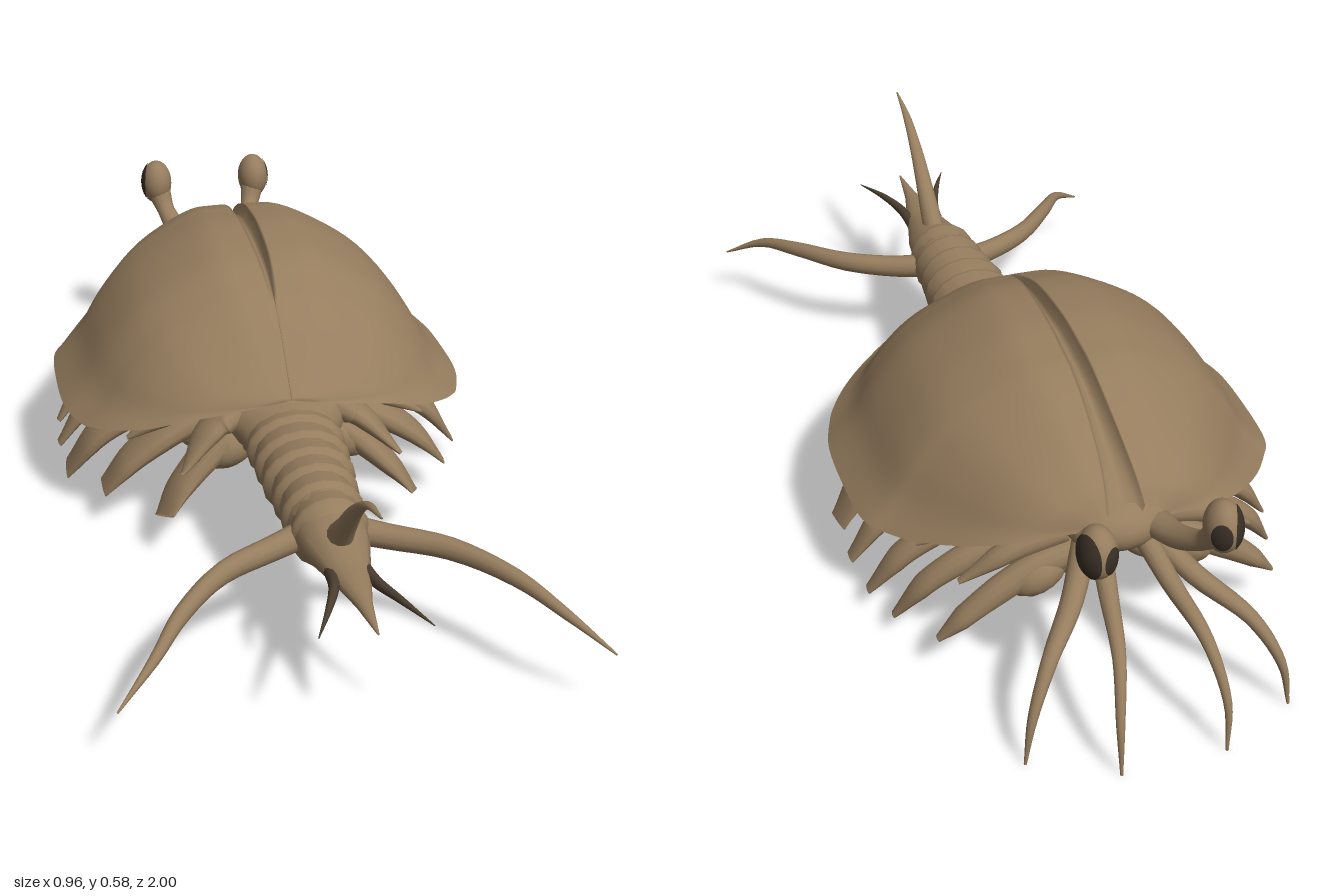
import * as THREE from 'three';

const V = (x, y, z) => new THREE.Vector3(x, y, z);

export function createModel() {
  const model = new THREE.Group();
  const shellBrown = new THREE.MeshStandardMaterial({ color: 0x967d5e, side: THREE.DoubleSide });
  shellBrown.name = 'shellBrown';
  const spineBrown = new THREE.MeshStandardMaterial({ color: 0x4c3f30 });
  spineBrown.name = 'spineBrown';
  const eyeDark = new THREE.MeshStandardMaterial({ color: 0x382f25 });
  eyeDark.name = 'eyeDark';

  function add(name, geometry, material = shellBrown, parent = model) {
    const mesh = new THREE.Mesh(geometry, material);
    mesh.name = name;
    parent.add(mesh);
    return mesh;
  }

  function gridGeometry(positions, index) {
    const g = new THREE.BufferGeometry();
    g.setAttribute('position', new THREE.Float32BufferAttribute(positions, 3));
    g.setIndex(index);
    g.computeVertexNormals();
    return g;
  }

  // Elliptical section swept along a path; radii are [along axis, across axis]
  function sweep(path, radii, axis = V(0, 0, 1), s = 1, steps = 20, sides = 12) {
    const curve = new THREE.CatmullRomCurve3(path.map(p => V(p[0] * s, p[1], p[2])));
    const pos = [], idx = [];
    for (let i = 0; i <= steps; i++) {
      const t = i / steps, c = curve.getPoint(t), tan = curve.getTangent(t);
      const side = axis.clone().addScaledVector(tan, -axis.dot(tan)).normalize();
      const up = tan.clone().cross(side);
      const f = t * (radii.length - 1), k = Math.min(Math.floor(f), radii.length - 2);
      const a = THREE.MathUtils.lerp(radii[k][0], radii[k + 1][0], f - k);
      const b = THREE.MathUtils.lerp(radii[k][1], radii[k + 1][1], f - k);
      for (let j = 0; j < sides; j++) {
        const q = j / sides * Math.PI * 2;
        const p = c.clone().addScaledVector(side, a * Math.cos(q)).addScaledVector(up, b * Math.sin(q));
        pos.push(p.x, p.y, p.z);
        if (i === steps) continue;
        const n = (j + 1) % sides, r = i * sides, e = r + sides;
        idx.push(r + j, r + n, e + n, r + j, e + n, e + j);
      }
    }
    return gridGeometry(pos, idx);
  }

  // Carapace stations: z, half width, crest height, rim height, groove half width
  const stations = [
    [-0.69, 0.10, 0.40, 0.365, 0.040], [-0.66, 0.20, 0.44, 0.345, 0.034], [-0.60, 0.285, 0.485, 0.31, 0.027],
    [-0.50, 0.37, 0.535, 0.265, 0.021], [-0.42, 0.423, 0.563, 0.245, 0.019], [-0.36, 0.453, 0.573, 0.24, 0.018],
    [-0.25, 0.462, 0.583, 0.24, 0.016], [-0.10, 0.46, 0.57, 0.24, 0.012], [0.00, 0.435, 0.535, 0.24, 0.006],
    [0.05, 0.41, 0.51, 0.25, 0.001], [0.10, 0.37, 0.475, 0.265, 0.001], [0.15, 0.31, 0.43, 0.285, 0.001],
    [0.19, 0.23, 0.395, 0.315, 0.001], [0.22, 0.10, 0.37, 0.345, 0.001], [0.225, 0.01, 0.362, 0.36, 0.001]];
  const outer = new THREE.CatmullRomCurve3(stations.map(r => V(r[0], r[1], r[2])), false, 'catmullrom');
  const inner = new THREE.CatmullRomCurve3(stations.map(r => V(r[0], r[3], r[4])), false, 'catmullrom');
  const profile = new THREE.SplineCurve([[0, 1], [0.08, 1], [0.22, 0.98], [0.42, 0.85], [0.6, 0.68],
    [0.75, 0.44], [0.87, 0.18], [1, 0]].map(p => new THREE.Vector2(...p)));

  function valve(s) {
    const rows = 70, cols = 30, pos = [], idx = [];
    for (let i = 0; i <= rows; i++) {
      const o = outer.getPoint(i / rows), r = inner.getPoint(i / rows);
      for (let j = 0; j <= cols; j++) {
        const p = profile.getPoint(Math.max(0, j - 2) / (cols - 2));
        // The first two columns are the floor of the groove between the valves
        const x = j === 0 ? 0 : j === 1 ? r.z * 0.75 : r.z + p.x * (o.y - r.z);
        const drop = j < 2 ? Math.min(0.028, r.z * 2) : 0;
        pos.push(s * x, r.y + (o.z - r.y) * p.y - drop, o.x);
        if (i === rows || j === cols) continue;
        const a = i * (cols + 1) + j, b = a + 1, c = a + cols + 1, d = c + 1;
        if (s > 0) idx.push(a, c, b, b, c, d);
        else idx.push(a, b, c, b, d, c);
      }
    }
    return gridGeometry(pos, idx);
  }

  // Trunk hidden below the carapace, and the head
  const across = V(1, 0, 0);
  add('trunk', sweep([[0, 0.345, -0.70], [0, 0.335, -0.45], [0, 0.32, -0.1], [0, 0.305, 0.1], [0, 0.28, 0.24]],
    [[0.05, 0.03], [0.13, 0.06], [0.16, 0.07], [0.17, 0.07], [0.16, 0.07], [0.10, 0.075]], across, 1, 30, 18));
  const head = add('head', new THREE.SphereGeometry(1, 20, 14));
  head.scale.set(0.11, 0.06, 0.08);
  head.position.set(0, 0.345, -0.64);

  // Abdomen of overlapping rings, each flaring towards the tail
  const ringWidths = [0.108, 0.106, 0.102, 0.098, 0.090, 0.086, 0.080];
  ringWidths.forEach((w, i) => {
    const z = 0.16 + i * 0.065, h = 0.081, y = 0.282 - i * 0.0045;
    add('abdomenRing', sweep([[0, y, z], [0, y - 0.002, z + 0.04], [0, y - 0.004, z + 0.078]],
      [[w * 0.92, h * 0.92], [w * 0.97, h * 0.97], [w * 1.02, h * 1.02], [w * 0.8, h * 0.8]], across, 1, 12, 16));
  });

  // Telson with its tail spine and upright spine
  add('telson', sweep([[0, 0.257, 0.56], [0, 0.257, 0.7], [0, 0.263, 0.85], [0, 0.268, 1.0]],
    [[0.08, 0.075], [0.068, 0.05], [0.042, 0.025], [0.017, 0.013], [0.002, 0.002]], across, 1, 24));
  add('uprightSpine', sweep([[0, 0.27, 0.665], [0, 0.345, 0.735], [0, 0.425, 0.815], [0, 0.485, 0.905], [0, 0.512, 1.0]],
    [[0.028, 0.036], [0.022, 0.02], [0.016, 0.012], [0.01, 0.007], [0.002, 0.002]], across));

  // Swimming legs: z at root, tip x, tip y, tip z, half breadth, breadth at the tip
  const legs = [
    [-0.63, 0.365, 0.10, -0.61, 0.027, 0.010], [-0.52, 0.42, 0.06, -0.465, 0.029, 0.010],
    [-0.41, 0.45, 0.06, -0.37, 0.032, 0.014], [-0.26, 0.46, 0.06, -0.255, 0.036, 0.020],
    [-0.09, 0.455, 0.06, -0.125, 0.06, 0.042], [0.04, 0.39, 0.09, 0.035, 0.058, 0.045],
    [0.15, 0.28, 0.11, 0.225, 0.055, 0.045]];

  for (const s of [1, -1]) {
    const half = new THREE.Group();
    half.name = s > 0 ? 'leftSide' : 'rightSide';
    model.add(half);
    const part = (name, geo, mat = shellBrown) => add(name, geo, mat, half);

    part('carapaceValve', valve(s));

    for (const [z, x, y, tz, b, e] of legs) {
      part('swimmingLeg', sweep([[0.08, 0.28, z], [x * 0.5, 0.245, z], [x * 0.82, 0.165, z * 0.6 + tz * 0.4], [x, y, tz]],
        [[0.03, 0.03], [b, 0.034], [b * 1.05, 0.03], [b, 0.02], [e, 0.005]], V(0, 0, 1), s));
      part('upperLegBranch', sweep([[0.10, 0.32, z + 0.02], [x * 0.55, 0.295, z + 0.02], [x * 0.86, 0.22, tz + 0.02]],
        [[0.03, 0.03], [b, 0.03], [b * 0.9, 0.022], [0.008, 0.004]], V(0, 0, 1), s));
      // Rounded lobes at the leg base, an outer one and one near the midline
      for (const [lx, ly, size] of [[Math.min(0.16, x * 0.45), 0.235, 1], [0.07, 0.262, 0.85]]) {
        const lobe = part('legLobe', new THREE.SphereGeometry(1, 14, 10));
        lobe.scale.set(0.068 * size, 0.046 * size, 0.05 * size);
        lobe.position.set(s * lx, ly, z + 0.01);
        lobe.rotation.z = -s * 0.5;
      }
    }

    // Long side tail spines and short inner ones
    part('sideTailSpine', sweep([[0.03, 0.245, 0.57], [0.12, 0.235, 0.61], [0.23, 0.232, 0.675], [0.33, 0.222, 0.79], [0.40, 0.195, 0.895], [0.48, 0.14, 0.97]],
      [[0.03, 0.03], [0.027, 0.024], [0.024, 0.021], [0.018, 0.017], [0.011, 0.011], [0.002, 0.002]], V(0, 1, 0), s));
    part('innerTailSpine', sweep([[0.03, 0.255, 0.74], [0.042, 0.265, 0.82], [0.07, 0.27, 0.90], [0.11, 0.266, 0.99]],
      [[0.016, 0.016], [0.013, 0.011], [0.008, 0.007], [0.001, 0.001]], V(0, 1, 0), s), spineBrown);

    // Two pairs of antennae
    part('innerAntenna', sweep([[0.04, 0.33, -0.64], [0.065, 0.27, -0.78], [0.09, 0.225, -0.91], [0.11, 0.12, -0.98], [0.11, 0.005, -0.995]],
      [[0.025, 0.025], [0.02, 0.02], [0.014, 0.014], [0.009, 0.009], [0.003, 0.003]], across, s));
    part('outerAntenna', sweep([[0.06, 0.31, -0.63], [0.13, 0.25, -0.75], [0.21, 0.20, -0.85], [0.26, 0.11, -0.90], [0.278, 0.005, -0.91]],
      [[0.03, 0.025], [0.024, 0.022], [0.018, 0.016], [0.011, 0.010], [0.003, 0.003]], V(0, 0, 1), s));

    // Stalked eyes with a large dark patch outside and a small one inside
    part('eyeStalk', sweep([[0.06, 0.34, -0.64], [0.085, 0.36, -0.75], [0.11, 0.405, -0.83], [0.125, 0.455, -0.865]],
      [[0.038, 0.028], [0.028, 0.025], [0.022, 0.02], [0.032, 0.032]], across, s));
    const eye = new THREE.Group();
    eye.name = 'eye';
    eye.position.set(s * 0.126, 0.465, -0.87);
    eye.scale.set(0.038, 0.056, 0.046);
    half.add(eye);
    add('eyeball', new THREE.SphereGeometry(1, 20, 16), shellBrown, eye);
    for (const [x, z, spread] of [[0.92, -0.4, 0.98], [-0.5, -0.87, 0.55]]) {
      const lens = new THREE.SphereGeometry(1.04, 20, 10, 0, Math.PI * 2, 0, spread);
      const aim = new THREE.Quaternion().setFromUnitVectors(V(0, 1, 0), V(s * x, 0, z).normalize());
      add('eyeLens', lens.applyQuaternion(aim), eyeDark, eye);
    }
  }

  return model;
}
